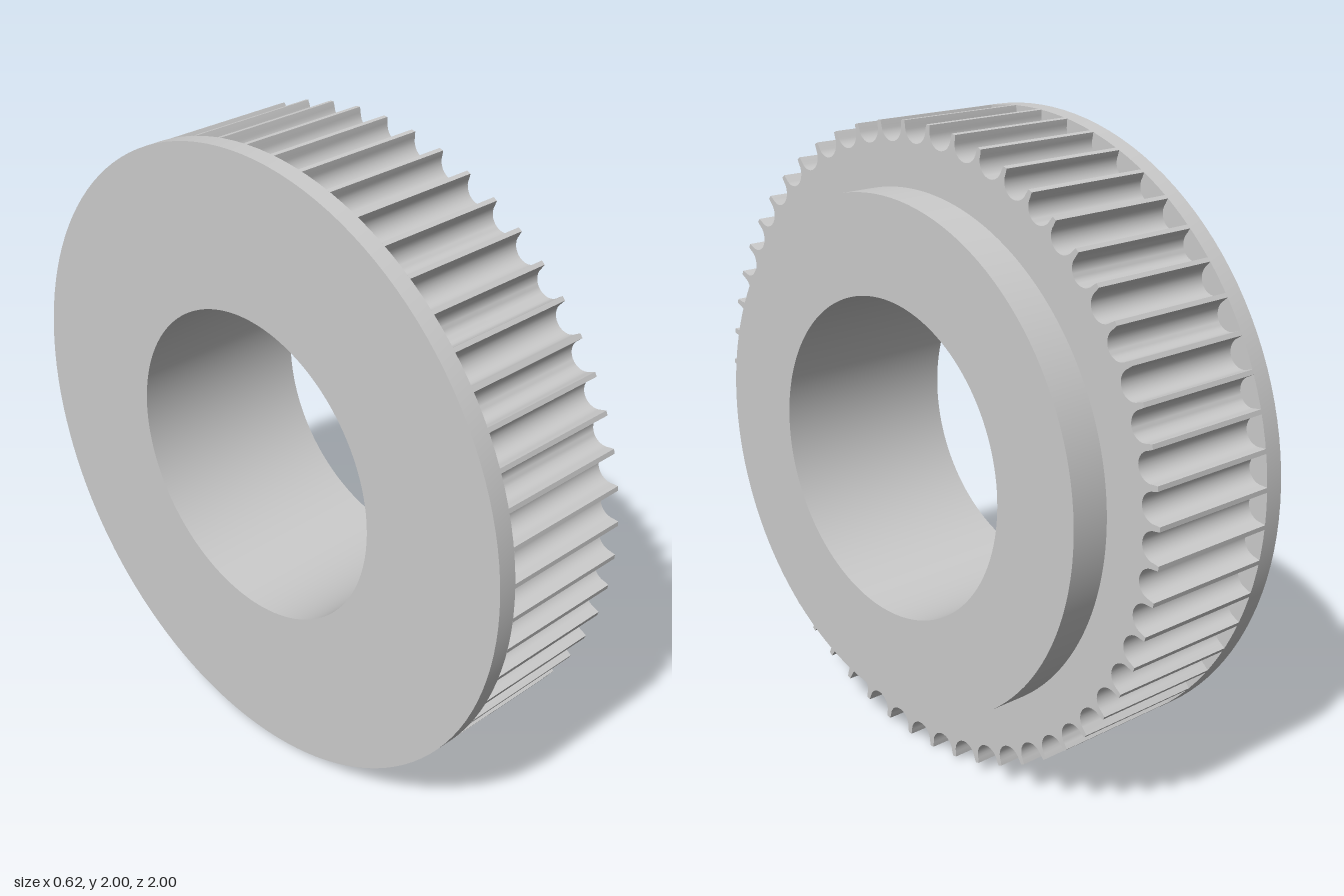
import * as THREE from 'three';
import { toCreasedNormals } from 'three/addons/utils/BufferGeometryUtils.js';

const TEETH = 56;
const PITCH = (Math.PI * 2) / TEETH;
const BORE = 0.5, HUB = 0.805, OUTER = 1;
const X_BACK = -0.31, X_FLANGE = -0.25, X_RIM = 0.185, X_HUB = 0.31;

// Outline of the toothed rim: round-bottomed grooves with slightly flared mouths
function rimShape() {
  const pts = [];
  const grooveR = 0.046, grooveCentre = 0.983, mouth = 0.049;
  const steps = 14;
  for (let i = 0; i < TEETH; i++) {
    const a = i * PITCH, c = Math.cos(a), s = Math.sin(a);
    const add = (r, t) => pts.push(new THREE.Vector2(r * c - t * s, r * s + t * c));
    const lip = Math.sqrt(OUTER * OUTER - mouth * mouth);
    add(lip, -mouth);
    for (let k = 0; k <= steps; k++) {
      const b = (k / steps) * Math.PI;
      add(grooveCentre - grooveR * Math.sin(b), -grooveR * Math.cos(b));
    }
    add(lip, mouth);
  }
  const shape = new THREE.Shape(pts);
  shape.holes.push(new THREE.Path().absarc(0, 0, HUB, 0, Math.PI * 2, true));
  return shape;
}

export function createModel() {
  const group = new THREE.Group();
  const material = new THREE.MeshStandardMaterial({ color: 0xcccccc });
  const addPart = (name, geometry) => {
    const mesh = new THREE.Mesh(toCreasedNormals(geometry, 0.5), material);
    mesh.name = name;
    group.add(mesh);
  };

  // Flange, hub and bore turned as one closed ring about the x axis
  const profile = [
    [BORE, X_BACK], [OUTER, X_BACK], [OUTER, X_FLANGE], [HUB, X_FLANGE],
    [HUB, X_HUB], [BORE, X_HUB], [BORE, X_BACK],
  ].map(([r, x]) => new THREE.Vector2(r, x));
  addPart('flangedHub', new THREE.LatheGeometry(profile, 128).rotateZ(-Math.PI / 2));

  // Toothed rim between the flange and the stepped hub
  const rim = new THREE.ExtrudeGeometry(rimShape(), {
    depth: X_RIM - X_FLANGE, bevelEnabled: false, curveSegments: 128,
  });
  rim.rotateY(Math.PI / 2).translate(X_FLANGE, 0, 0);
  addPart('toothedRim', rim);

  group.position.y = OUTER;
  const model = new THREE.Group();
  model.name = 'timingPulley';
  group.name = 'pulleyBody';
  model.add(group);
  return model;
}
